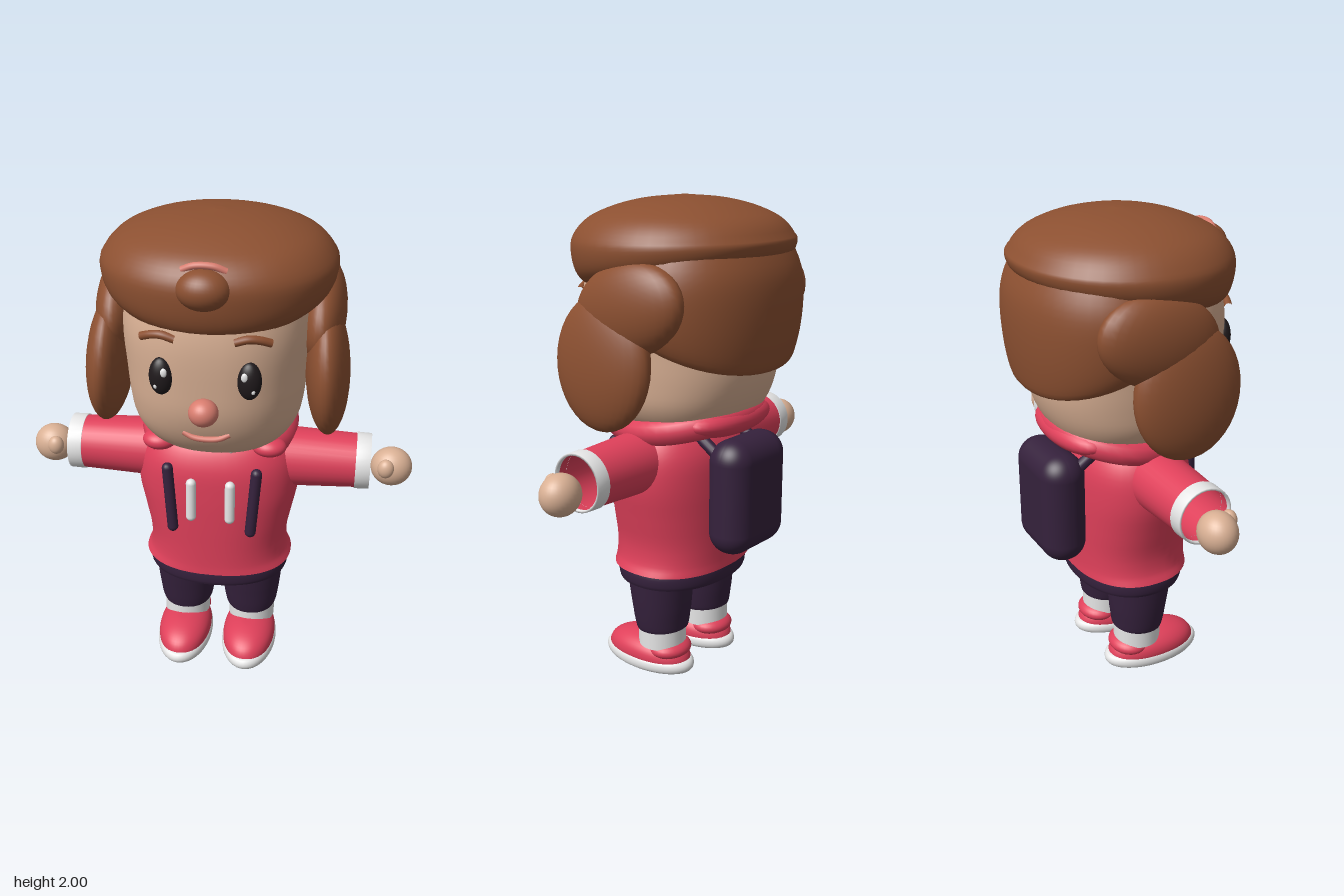
import * as THREE from 'three';
import { RoundedBoxGeometry } from 'three/addons/geometries/RoundedBoxGeometry.js';

const V = (x, y, z) => new THREE.Vector3(x, y, z);

function material(name, color, side = THREE.FrontSide) {
  const m = new THREE.MeshStandardMaterial({ color, side });
  m.name = name;
  return m;
}

// Smooth closed body from [y, halfWidth, halfDepth] sections; n sets how square the outline is
function loft(sections, n = 2, warp = null, seg = 48) {
  const rows = new THREE.CatmullRomCurve3(sections.map(([y, rx, rz]) => V(rx, y, rz)), false, 'centripetal')
    .getPoints((sections.length - 1) * 4);
  const pos = [], idx = [];
  const ring = (r) => {
    const start = pos.length / 3;
    for (let i = 0; i < seg; i++) {
      const a = (i / seg) * Math.PI * 2, c = Math.cos(a), s = Math.sin(a);
      const p = V(Math.sign(c) * Math.abs(c) ** (2 / n) * r.x, r.y, Math.sign(s) * Math.abs(s) ** (2 / n) * r.z);
      if (warp) warp(p);
      pos.push(p.x, p.y, p.z);
    }
    return start;
  };
  rows.forEach(ring);
  for (let j = 0; j < rows.length - 1; j++) {
    for (let i = 0; i < seg; i++) {
      const a = j * seg + i, b = j * seg + ((i + 1) % seg);
      idx.push(b, a, a + seg, b, a + seg, b + seg);
    }
  }
  // separate end caps keep the hems sharp
  [rows[0], rows[rows.length - 1]].forEach((r, top) => {
    const start = ring(r), c = V(0, r.y, 0);
    if (warp) warp(c);
    pos.push(c.x, c.y, c.z);
    for (let i = 0; i < seg; i++) {
      const a = start + i, b = start + ((i + 1) % seg);
      idx.push(start + seg, top ? b : a, top ? a : b);
    }
  });
  const g = new THREE.BufferGeometry();
  g.setAttribute('position', new THREE.Float32BufferAttribute(pos, 3));
  g.setIndex(idx);
  g.computeVertexNormals();
  return g;
}

const tube = (points, r) => new THREE.TubeGeometry(new THREE.CatmullRomCurve3(points), 32, r, 12);

export function createModel() {
  const model = new THREE.Group();
  const hair = material('hairBrown', 0x8c5031);
  const skin = material('skin', 0xd9b094);
  const red = material('hoodieRed', 0xdf405a);
  const redOpen = red;
  redOpen.side = THREE.DoubleSide;
  const dark = material('darkPurple', 0x35213c);
  const white = material('white', 0xe6e6e6, THREE.DoubleSide);
  const salmon = material('salmon', 0xd97d6f);
  const black = material('eyeBlack', 0x201a1c);

  const add = (name, geo, mat, x = 0, y = 0, z = 0) => {
    const m = new THREE.Mesh(geo, mat);
    m.name = name;
    m.position.set(x, y, z);
    model.add(m);
    return m;
  };
  const ball = (name, mat, [x, y, z], [rx, ry, rz]) => {
    const m = add(name, new THREE.SphereGeometry(1, 32, 20), mat, x, y, z);
    m.scale.set(rx, ry, rz);
    return m;
  };
  // Rounded bar between two points
  const bar = (name, mat, a, b, r) => {
    const d = b.clone().sub(a);
    const m = add(name, new THREE.CapsuleGeometry(r, d.length(), 6, 14), mat);
    m.position.copy(a).addScaledVector(d, 0.5);
    m.quaternion.setFromUnitVectors(V(0, 1, 0), d.normalize());
    return m;
  };

  // Head and face
  add('head', loft([[1.04, 0.1, 0.1], [1.07, 0.2, 0.21], [1.12, 0.285, 0.29], [1.2, 0.335, 0.345],
    [1.3, 0.352, 0.38], [1.42, 0.362, 0.392], [1.6, 0.372, 0.395], [1.78, 0.34, 0.36]], 2.35), skin);
  ball('nose', salmon, [0, 1.35, 0.415], [0.057, 0.053, 0.055]);
  add('mouth', tube([V(-0.09, 1.228, 0.345), V(-0.05, 1.21, 0.352), V(0, 1.205, 0.354),
    V(0.05, 1.21, 0.352), V(0.09, 1.228, 0.345)], 0.012), salmon);

  // Hair: top cap with a lower edge that rises towards the back
  add('hairCap', loft([[1.63, 0.36, 0.36], [1.635, 0.39, 0.385], [1.68, 0.435, 0.415], [1.75, 0.457, 0.432],
    [1.83, 0.455, 0.432], [1.9, 0.405, 0.385], [1.95, 0.315, 0.29], [1.985, 0.18, 0.165], [2, 0.02, 0.02]], 2.1,
  (p) => { p.y += 0.16 * (0.4 - p.z) * THREE.MathUtils.clamp((1.85 - p.y) / 0.22, 0, 1); }), hair, 0, 0, -0.012);
  add('backHair', loft([[1.33, 0.36, 0.28], [1.335, 0.39, 0.315], [1.42, 0.425, 0.338], [1.6, 0.445, 0.352],
    [1.72, 0.435, 0.34], [1.84, 0.38, 0.29]], 2.15,
  (p) => { p.y += 0.4 * (p.z + 0.33) * THREE.MathUtils.clamp((1.7 - p.y) / 0.37, 0, 1); }), hair, 0, 0, -0.118);
  ball('hairTuft', hair, [0, 1.82, 0.39], [0.1, 0.075, 0.078]);
  add('hairClip', tube([V(-0.08, 1.885, 0.372), V(-0.035, 1.903, 0.378), V(0.035, 1.903, 0.378),
    V(0.08, 1.885, 0.372)], 0.013), salmon);

  // Hoodie body and hood
  add('hoodieBody', loft([[0.48, 0.32, 0.248], [0.52, 0.302, 0.246], [0.6, 0.297, 0.247], [0.72, 0.318, 0.25],
    [0.86, 0.343, 0.25], [0.98, 0.335, 0.24], [1.06, 0.295, 0.205], [1.1, 0.23, 0.16]], 2.3), red, 0, 0, -0.005);
  add('hood', tube([V(-0.22, 1.075, 0.15), V(-0.265, 1.08, 0.03), V(-0.265, 1.1, -0.12), V(-0.17, 1.13, -0.25),
    V(0, 1.14, -0.29), V(0.17, 1.13, -0.25), V(0.265, 1.1, -0.12), V(0.265, 1.08, 0.03), V(0.22, 1.075, 0.15)], 0.055), red);
  ball('hoodBackRoll', red, [0, 1.13, -0.24], [0.25, 0.07, 0.11]);

  // Waistband and backpack
  add('waistband', loft([[0.415, 0.3, 0.23], [0.43, 0.306, 0.235], [0.47, 0.306, 0.235], [0.5, 0.29, 0.225]], 2.2), dark, 0, 0, -0.005);
  add('backpack', new RoundedBoxGeometry(0.37, 0.48, 0.19, 8, 0.092), dark, 0, 0.83, -0.335);

  for (const s of [-1, 1]) {
    // Eye, highlights and brow
    ball('eye', black, [s * 0.165, 1.47, 0.37], [0.046, 0.075, 0.035]);
    ball('eyeHighlight', white, [s * 0.15, 1.495, 0.399], [0.013, 0.018, 0.008]);
    ball('eyeSmallHighlight', white, [s * 0.182, 1.438, 0.396], [0.008, 0.01, 0.006]);
    add('brow', tube([V(s * 0.11, 1.622, 0.377), V(s * 0.16, 1.635, 0.373), V(s * 0.2, 1.63, 0.362),
      V(s * 0.24, 1.615, 0.345)], 0.016), hair);

    // Side hair: long lock and upper swoop
    const lock = ball('sideLock', hair, [s * 0.44, 1.385, 0.035], [0.088, 0.268, 0.232]);
    lock.rotation.z = s * 0.06;
    const swoop = ball('sideSwoop', hair, [s * 0.405, 1.595, -0.07], [0.095, 0.18, 0.26]);
    swoop.rotation.x = 0.25;

    // Hood end, drawstring and backpack straps
    ball('hoodEnd', red, [s * 0.225, 1.08, 0.15], [0.07, 0.04, 0.06]);
    ball('eyelet', white, [s * 0.075, 1.07, 0.197], [0.008, 0.008, 0.008]);
    bar('drawstring', white, V(s * 0.08, 0.79, 0.265), V(s * 0.08, 0.94, 0.257), 0.021);
    bar('frontStrap', dark, V(s * 0.163, 0.715, 0.236), V(s * 0.183, 0.985, 0.222), 0.023);
    bar('backStrap', dark, V(s * 0.13, 1.06, -0.2), V(s * 0.13, 1.0, -0.29), 0.024);

    // Open sleeve, cuff, hand and thumb
    const sleeve = add('sleeve', new THREE.CylinderGeometry(0.112, 0.13, 0.42, 32, 1, true), redOpen, s * 0.405, 0.96, 0);
    sleeve.rotation.z = -s * Math.PI / 2;
    const cuffProfile = [[0.113, -0.03], [0.119, -0.03], [0.117, 0.03], [0.108, 0.03], [0.108, 0.015]]
      .map(([r, y]) => new THREE.Vector2(r, y));
    const cuff = add('cuff', new THREE.LatheGeometry(cuffProfile, 32), white, s * 0.606, 0.96, 0);
    cuff.rotation.z = -s * Math.PI / 2;
    ball('hand', skin, [s * 0.725, 0.94, -0.005], [0.086, 0.083, 0.076]);
    ball('thumb', skin, [s * 0.7, 0.962, 0.062], [0.034, 0.041, 0.03]);

    // Trouser leg and sock
    add('trouserLeg', loft([[0.185, 0.108, 0.108], [0.2, 0.114, 0.111], [0.3, 0.128, 0.125], [0.45, 0.14, 0.141]], 2.1,
      (p) => { p.z -= 0.01 * (0.45 - p.y) / 0.25; if (p.y < 0.25) p.y -= 0.08 * p.z; }), dark, s * 0.147, 0, 0);
    add('sock', new THREE.CylinderGeometry(0.103, 0.103, 0.1, 32), white, s * 0.15, 0.16, -0.01);

    // Shoe upper, heel and sole rim
    add('shoe', loft([[0.014, 0.1, 0.2], [0.05, 0.116, 0.208], [0.085, 0.112, 0.192], [0.115, 0.088, 0.15],
      [0.135, 0.045, 0.08], [0.139, 0.01, 0.02]], 2.1), red, s * 0.148, 0, 0.065);
    ball('shoeHeel', red, [s * 0.148, 0.095, -0.05], [0.1, 0.045, 0.088]);
    const sole = add('soleRim', new THREE.TorusGeometry(0.2, 0.027, 14, 48), white, s * 0.148, 0.028, 0.065);
    sole.rotation.x = Math.PI / 2;
    sole.scale.set(0.54, 1.01, 1);
  }
  return model;
}
